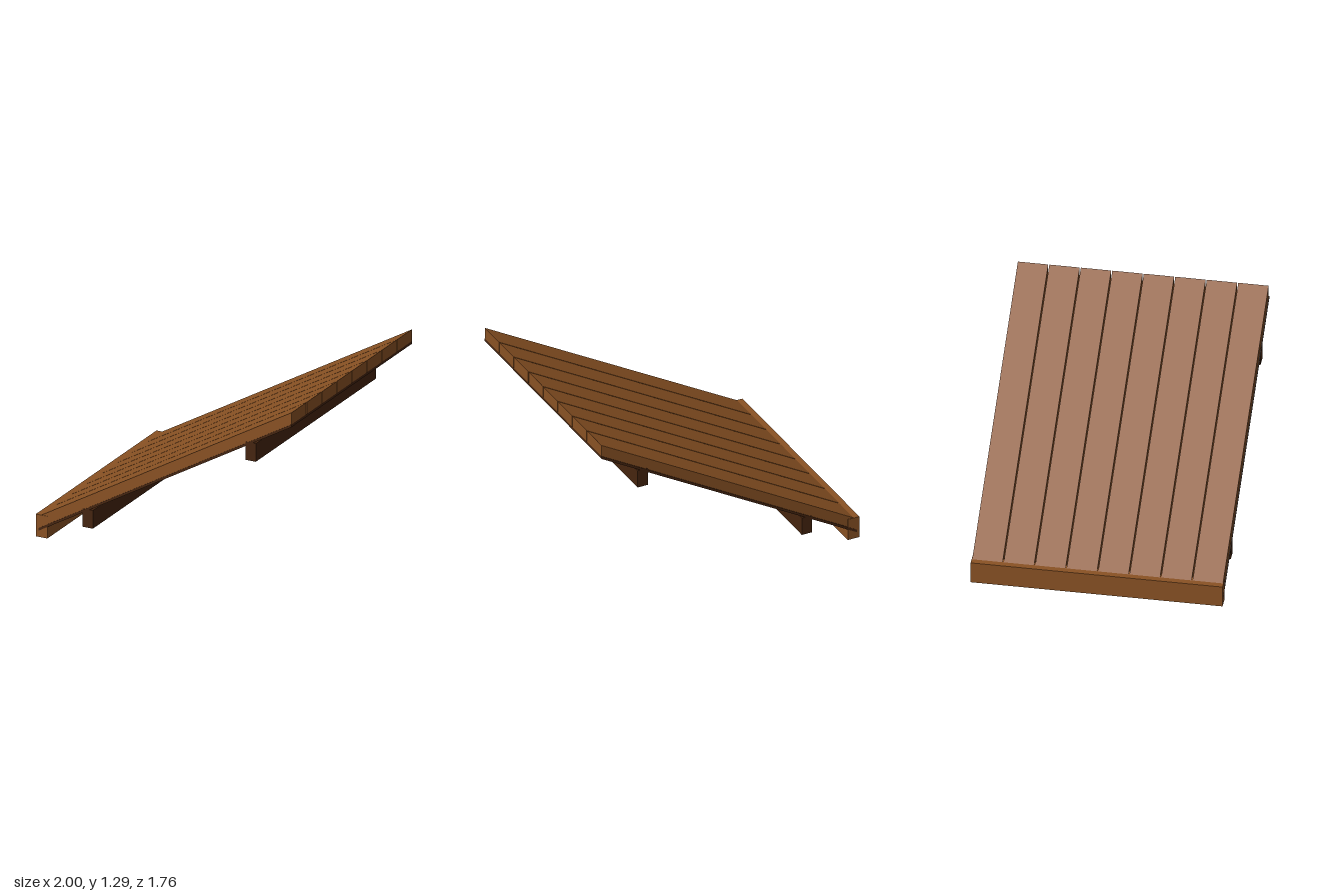
import * as THREE from 'three';

export function createModel() {
  const model = new THREE.Group();
  model.name = 'plankRamp';

  const wood = new THREE.MeshStandardMaterial({ color: 0x8a5224 });
  wood.name = 'warm wood';
  const darkWood = new THREE.MeshStandardMaterial({ color: 0x46250f });
  darkWood.name = 'dark wood';

  const halfWidth = 0.88;
  const slope = Math.tan(Math.PI / 6);

  function add(name, geometry, material, x, y, z) {
    const mesh = new THREE.Mesh(geometry, material);
    mesh.name = name;
    mesh.position.set(x, y, z);
    model.add(mesh);
  }

  // Sloping board with upright ends; top and bottom are heights at x = 1
  function slopedBoard(x0, top, bottom, depth) {
    const drop = (1 - x0) * slope;
    const shape = new THREE.Shape([
      new THREE.Vector2(x0, bottom - drop),
      new THREE.Vector2(1, bottom),
      new THREE.Vector2(1, top),
      new THREE.Vector2(x0, top - drop),
    ]);
    const geometry = new THREE.ExtrudeGeometry(shape, { depth, bevelEnabled: false });
    return geometry.translate(0, 0, -depth / 2);
  }

  // Eight deck planks with narrow gaps
  const count = 8;
  const pitch = (halfWidth * 2) / count;
  const plank = slopedBoard(-0.98, 1.295, 1.208, pitch - 0.008);
  for (let i = 0; i < count; i++) {
    add(`plank${i + 1}`, plank, wood, 0, 0, (i - (count - 1) / 2) * pitch);
  }

  // Thin backing under the planks
  add('backing', slopedBoard(-0.98, 1.208, 1.188, halfWidth * 2 + 0.002), darkWood, 0, 0, 0);

  // Beam along the foot of the ramp
  add('footBeam', new THREE.BoxGeometry(0.09, 0.165, halfWidth * 2), wood, -0.955, 0.0825, 0);

  // Cross supports below the deck
  const support = new THREE.BoxGeometry(0.08, 0.135, halfWidth * 2 - 0.004);
  add('lowerSupport', support, darkWood, -0.595, 0.207, 0);
  add('upperSupport', support, darkWood, 0.68, 0.945, 0);

  return model;
}
